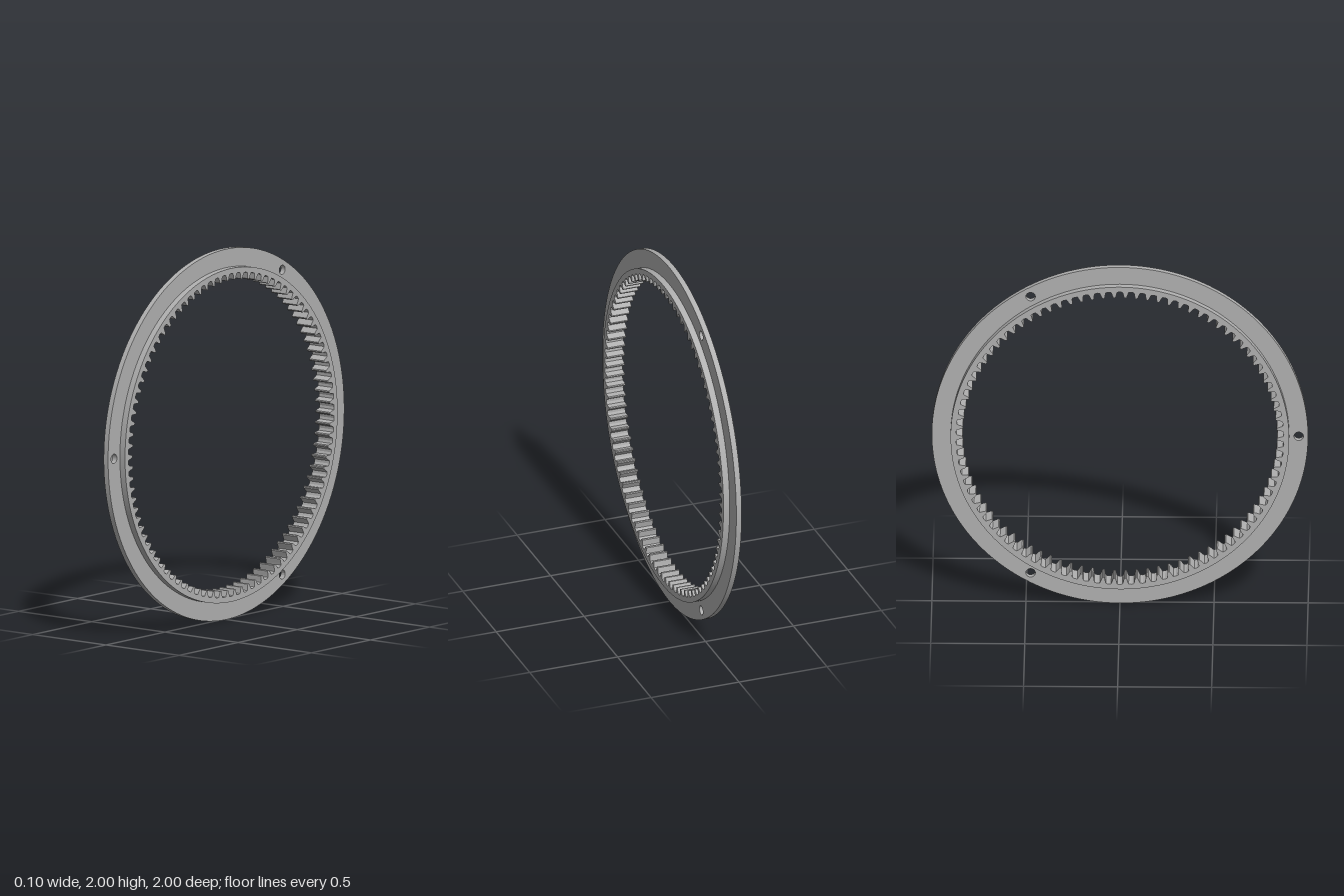
import * as THREE from 'three';
import { toCreasedNormals } from 'three/addons/utils/BufferGeometryUtils.js';

const TEETH = 90, TIP = 0.835, ROOT = 0.872, BODY = 0.9, OUTER = 1;

const circle = (Type, x, y, r) => new Type().absarc(x, y, r, 0, Math.PI * 2, false);

// Extrudes a flat outline into a plate centred on x = 0, standing on y = 0
function plate(name, shape, thickness, material) {
  let geo = new THREE.ExtrudeGeometry(shape, { depth: thickness, bevelEnabled: false, curveSegments: 96 });
  geo.translate(0, 0, -thickness / 2);
  geo.rotateY(Math.PI / 2);
  geo = toCreasedNormals(geo, 0.25);
  const mesh = new THREE.Mesh(geo, material);
  mesh.name = name;
  mesh.position.y = OUTER;
  return mesh;
}

// Internal tooth outline: wide at the root, narrow rounded tip
function toothedBore() {
  const profile = [
    [-0.5, ROOT], [-0.27, ROOT - 0.003], [-0.22, ROOT - 0.011], [-0.16, TIP + 0.012],
    [-0.1, TIP + 0.002], [0, TIP], [0.1, TIP + 0.002],
    [0.16, TIP + 0.012], [0.22, ROOT - 0.011], [0.27, ROOT - 0.003],
  ];
  const points = [];
  for (let i = 0; i < TEETH; i++) {
    for (const [offset, r] of profile) {
      const a = ((i + offset) / TEETH) * Math.PI * 2;
      points.push(new THREE.Vector2(Math.cos(a) * r, Math.sin(a) * r));
    }
  }
  return new THREE.Path(points);
}

export function createModel() {
  const group = new THREE.Group();
  group.name = 'ringGear';
  const steel = new THREE.MeshStandardMaterial({ color: 0xb0b0b0 });
  steel.name = 'grey steel';

  // Wide ring with internal teeth
  const body = circle(THREE.Shape, 0, 0, BODY);
  body.holes.push(toothedBore());
  group.add(plate('toothedRing', body, 0.1, steel));

  // Thin mounting flange with three bolt holes
  const flange = circle(THREE.Shape, 0, 0, OUTER);
  flange.holes.push(circle(THREE.Path, 0, 0, BODY - 0.004));
  for (let i = 0; i < 3; i++) {
    const a = Math.PI + (i * Math.PI * 2) / 3;
    flange.holes.push(circle(THREE.Path, Math.cos(a) * 0.95, Math.sin(a) * 0.95, 0.025));
  }
  group.add(plate('mountingFlange', flange, 0.03, steel));
  return group;
}
